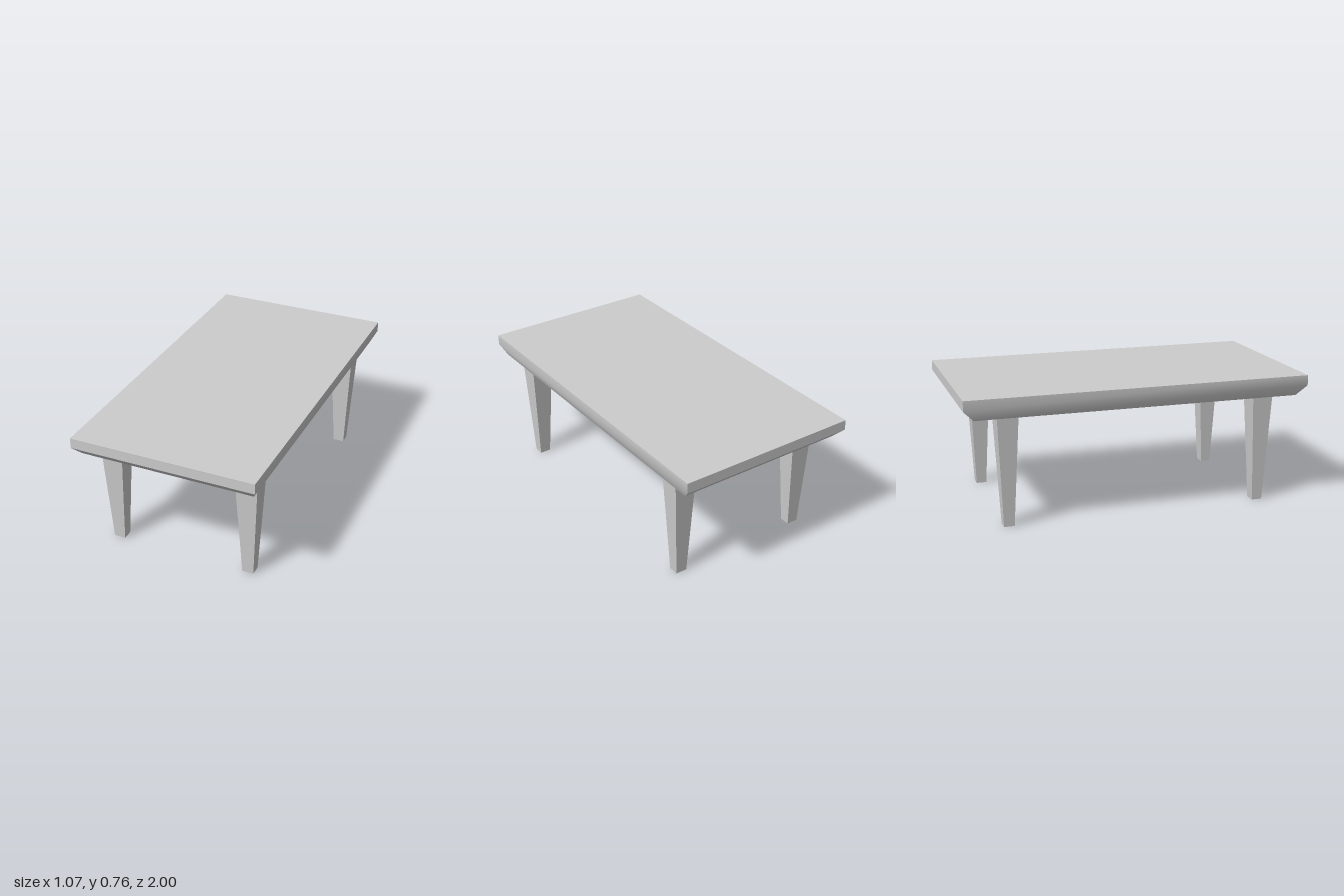
import * as THREE from 'three';
import { toCreasedNormals } from 'three/addons/utils/BufferGeometryUtils.js';

const material = new THREE.MeshStandardMaterial({ color: 0xcccccc });

// Box standing on y = 0 whose lowest ring of corners is scaled inwards
function taperedBox(width, height, depth, heightSegments, scaleX, scaleZ) {
  const geometry = new THREE.BoxGeometry(width, height, depth, 1, heightSegments, 1);
  geometry.translate(0, height / 2, 0);
  const p = geometry.attributes.position;
  for (let i = 0; i < p.count; i++) {
    if (p.getY(i) < 1e-4) {
      p.setX(i, p.getX(i) * scaleX);
      p.setZ(i, p.getZ(i) * scaleZ);
    }
  }
  // The shallow long-side bevel shades smoothly, the steeper end bevel stays sharp
  return toCreasedNormals(geometry, THREE.MathUtils.degToRad(35));
}

export function createModel() {
  const table = new THREE.Group();
  table.name = 'table';

  // Thick top with its lower half bevelled inwards
  const tableTop = new THREE.Mesh(taperedBox(1.066, 0.12, 2, 2, 0.944, 0.94), material);
  tableTop.name = 'tableTop';
  tableTop.position.y = 0.64;
  table.add(tableTop);

  // Four square legs, narrowing to half width at the floor
  const legGeometry = taperedBox(0.133, 0.64, 0.12, 1, 0.5, 0.5);
  for (const [sideName, x] of [['Left', 0.402], ['Right', -0.402]]) {
    for (const [endName, z] of [['front', 0.75], ['back', -0.75]]) {
      const leg = new THREE.Mesh(legGeometry, material);
      leg.name = `${endName}${sideName}Leg`;
      leg.position.set(x, 0, z);
      table.add(leg);
    }
  }
  return table;
}
